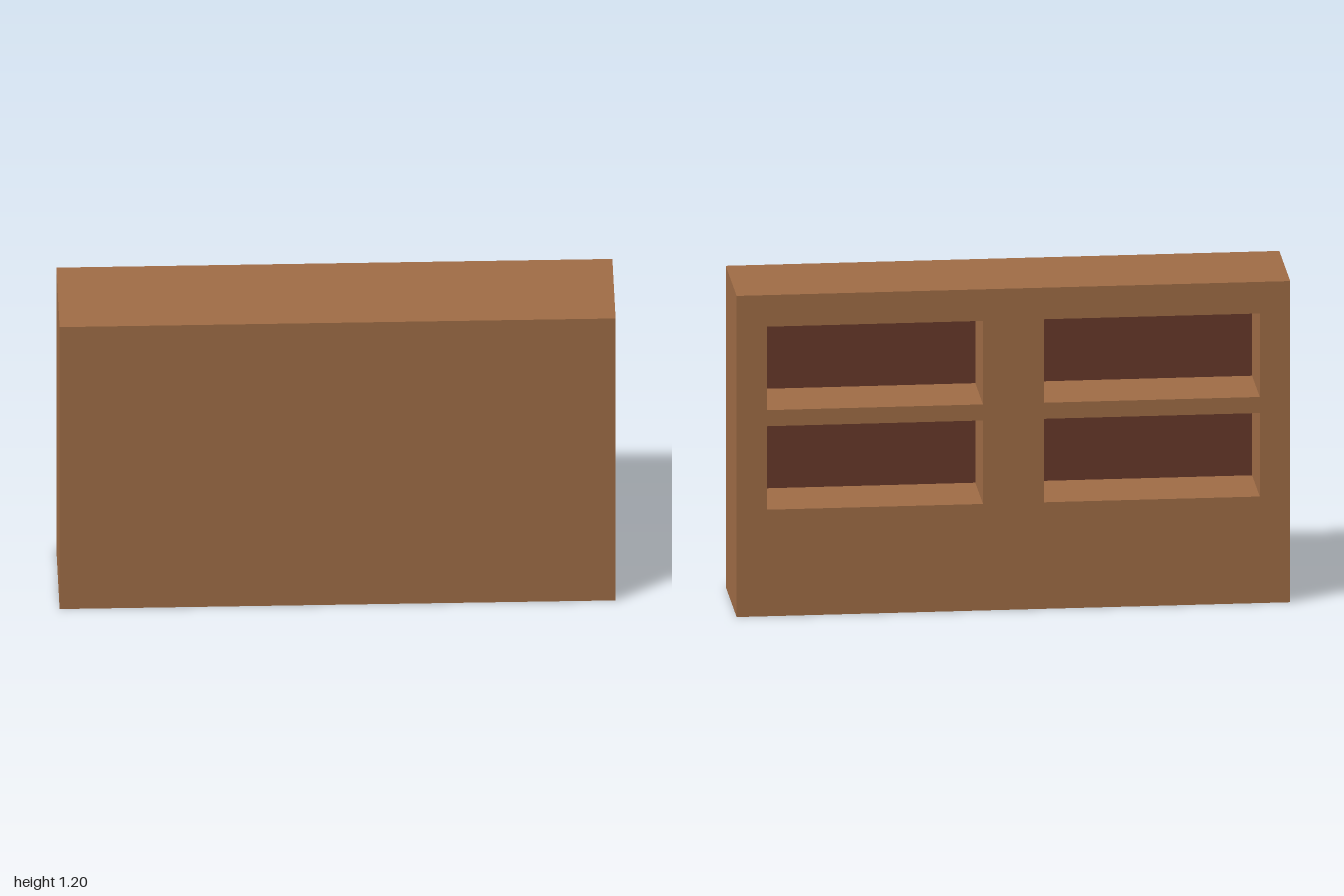
import * as THREE from 'three';
import { mergeGeometries } from 'three/addons/utils/BufferGeometryUtils.js';

const W = 2, H = 1.2, D = 0.4;          // outer size
const CW = 0.78, CH = 0.312, CD = 0.282; // compartment size
const CENTRES = [];
for (const x of [-0.5, 0.5]) for (const y of [0.926, 0.554]) CENTRES.push([x, y]);

// Keeps the first n sides of a box (order: +x, -x, +y, -y, +z, -z)
function openBox(w, h, d, n, inward = false) {
  const g = new THREE.BoxGeometry(w, h, d);
  const index = Array.from(g.index.array).slice(0, n * 6);
  g.setIndex(inward ? index.reverse() : index);
  const flat = g.toNonIndexed();
  flat.computeVertexNormals();
  return flat;
}

function createModel() {
  const model = new THREE.Group();
  model.name = 'shelfUnit';
  const wood = new THREE.MeshStandardMaterial({ color: 0xa06d46 });
  const darkWood = new THREE.MeshStandardMaterial({ color: 0x68392a });

  // Outer case: all sides but the one with the compartments
  const parts = [openBox(W, H, D, 5).translate(0, H / 2, 0)];

  // Compartment face with four openings
  const face = new THREE.Shape([
    new THREE.Vector2(-W / 2, 0), new THREE.Vector2(W / 2, 0),
    new THREE.Vector2(W / 2, H), new THREE.Vector2(-W / 2, H),
  ]);
  for (const [x, y] of CENTRES) {
    const l = x - CW / 2, r = x + CW / 2, b = y - CH / 2, t = y + CH / 2;
    face.holes.push(new THREE.Path([
      new THREE.Vector2(l, b), new THREE.Vector2(l, t),
      new THREE.Vector2(r, t), new THREE.Vector2(r, b),
    ]));
  }
  parts.push(new THREE.ShapeGeometry(face).toNonIndexed().rotateY(Math.PI).translate(0, 0, -D / 2));

  // Compartment walls, facing inward, and their dark inner panels
  for (const [x, y] of CENTRES) {
    parts.push(openBox(CW, CH, CD, 4, true).translate(x, y, (CD - D) / 2));
    const panel = new THREE.Mesh(new THREE.PlaneGeometry(CW, CH), darkWood);
    panel.name = 'compartmentPanel';
    panel.rotation.y = Math.PI;
    panel.position.set(x, y, CD - D / 2);
    model.add(panel);
  }

  const body = new THREE.Mesh(mergeGeometries(parts), wood);
  body.name = 'case';
  model.add(body);
  return model;
}

export { createModel };
